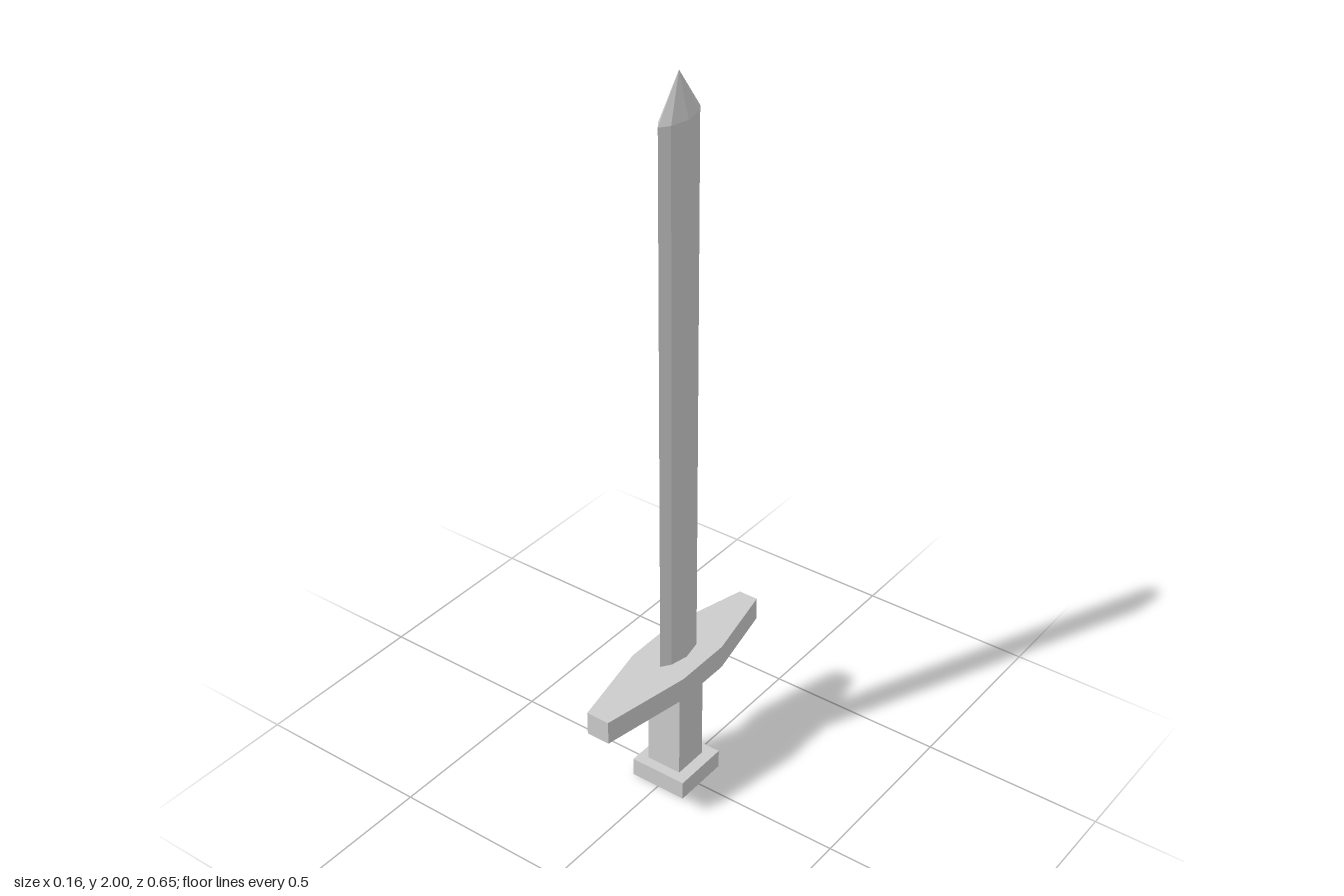
import * as THREE from 'three';
import { ConvexGeometry } from 'three/addons/geometries/ConvexGeometry.js';

const material = new THREE.MeshStandardMaterial({ color: 0xcccccc, flatShading: true });

// Place an outline of [x, z] corners at height y
const ring = (outline, y) => outline.map(([x, z]) => new THREE.Vector3(x, y, z));

// Rectangle outline from its x and z limits
const rect = (x0, x1, z0, z1) => [[x0, z0], [x1, z0], [x1, z1], [x0, z1]];

// Every part is a convex solid spanned by stacked outlines
function addPart(group, name, ...rings) {
  const mesh = new THREE.Mesh(new ConvexGeometry(rings.flat()), material);
  mesh.name = name;
  group.add(mesh);
}

export function createModel() {
  const sword = new THREE.Group();
  sword.name = 'sword';

  const pommel = rect(-0.082, 0.082, -0.09, 0.073);
  const grip = rect(-0.053, 0.049, -0.058, 0.044);
  const collar = rect(-0.082, 0.082, -0.09, 0.07);

  // Crossguard tapers towards both ends
  const guard = [
    [-0.022, -0.325], [0.034, -0.325], [0.082, -0.097], [0.082, 0.07],
    [0.036, 0.323], [-0.03, 0.323], [-0.082, 0.07], [-0.082, -0.097],
  ];

  // Eight-sided blade section, edges along z
  const blade = [
    [0.004, -0.092], [0.022, -0.066], [0.033, -0.009], [0.022, 0.041],
    [0.004, 0.066], [-0.014, 0.041], [-0.035, -0.009], [-0.014, -0.066],
  ];

  addPart(sword, 'pommel', ring(pommel, 0), ring(pommel, 0.053));
  addPart(sword, 'grip', ring(grip, 0.053), ring(grip, 0.317));
  addPart(sword, 'collar', ring(grip, 0.317), ring(collar, 0.334));
  addPart(sword, 'crossguard', ring(guard, 0.334), ring(guard, 0.4));
  addPart(sword, 'blade', ring(blade, 0.4), ring(blade, 1.89), ring([[0.004, -0.012]], 2));

  return sword;
}
